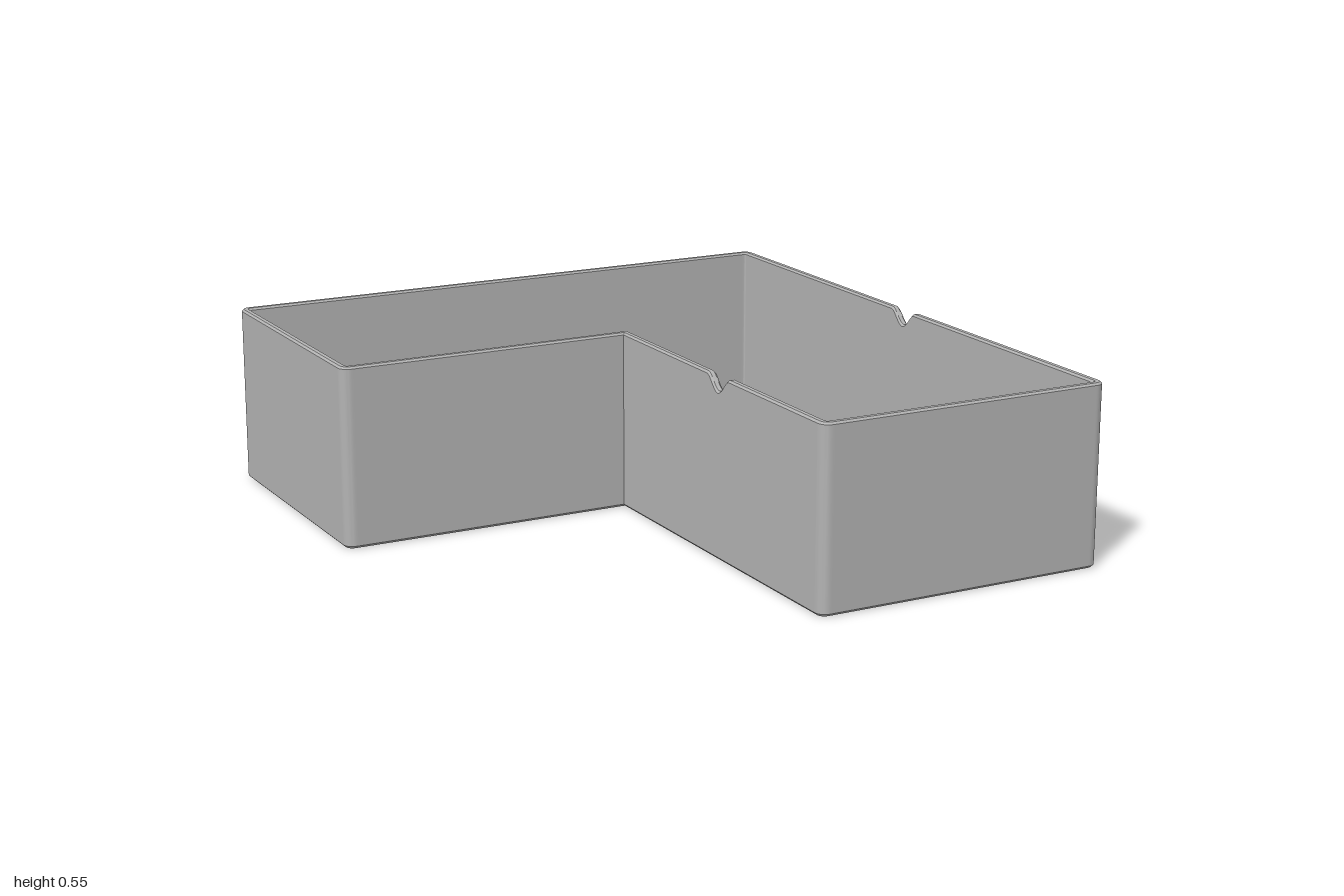
import * as THREE from 'three';
import { toCreasedNormals } from 'three/addons/utils/BufferGeometryUtils.js';

const HEIGHT = 0.545, WALL = 0.025, FLOOR = 0.02, RADIUS = 0.03;

// Outline stations: an outer point, the inward direction, and how far the rim dips there.
function outline() {
  const stations = [];
  const add = (x, z, nx, nz, dip = 0) => stations.push({ x, z, nx, nz, dip });

  // Rounded outer corner, sweeping a quarter turn from the given angle
  const corner = (x, z, start) => {
    const c = (a) => Math.round(Math.cos(a)), s = (a) => Math.round(Math.sin(a));
    const end = start + Math.PI / 2;
    const cx = x - (c(start) + c(end)) * RADIUS, cz = z - (s(start) + s(end)) * RADIUS;
    const at = (a, slide) => {
      const dx = Math.cos(a), dz = Math.sin(a);
      add(cx + dx * RADIUS - dz * slide, cz + dz * RADIUS + dx * slide, -dx, -dz);
    };
    at(start, -0.006); // keeps the long walls flat
    for (let i = 0; i <= 6; i++) at(start + (i / 6) * (Math.PI / 2), 0);
    at(end, 0.006);
  };

  // Rounded notch in the rim of a side wall
  const notch = (x, z, dir) => {
    for (let i = 0; i <= 16; i++) {
      const t = i / 8 - 1;
      const dip = 0.045 * Math.pow(Math.max(0, 0.5 + 0.5 * Math.cos(Math.PI * t)), 0.8);
      add(x, z + dir * t * 0.06, -dir, 0, dip);
    }
  };

  corner(-0.915, -1, Math.PI);
  corner(0.915, -1, Math.PI * 1.5);
  notch(0.915, 0, 1);
  corner(0.915, 1, 0);
  corner(-0.01, 1, Math.PI / 2);
  notch(-0.01, 0.43, -1);
  add(-0.01, -0.145, 1, -1); // inside corner of the L
  corner(-0.915, -0.145, Math.PI / 2);
  return stations;
}

const pointAt = (s, inset, y) => [s.x + s.nx * inset, y, s.z + s.nz * inset];

function finish(positions) {
  const g = new THREE.BufferGeometry();
  g.setAttribute('position', new THREE.Float32BufferAttribute(positions, 3));
  return toCreasedNormals(g, 0.3);
}

// Wall cross-section carried round the outline
function wallGeometry(stations) {
  const rings = [
    [0.008, () => 0], [0, () => 0.008],
    [0, (s) => HEIGHT - s.dip - 0.006], [0.006, (s) => HEIGHT - s.dip],
    [WALL - 0.006, (s) => HEIGHT - s.dip], [WALL, (s) => HEIGHT - s.dip - 0.006],
    [WALL, () => FLOOR],
  ];
  const out = [];
  for (let j = 0; j < rings.length - 1; j++) {
    stations.forEach((s, i) => {
      const n = stations[(i + 1) % stations.length];
      const p = (st, r) => pointAt(st, r[0], r[1](st));
      const a = p(s, rings[j]), b = p(n, rings[j]);
      const c = p(n, rings[j + 1]), d = p(s, rings[j + 1]);
      out.push(...a, ...d, ...c, ...a, ...c, ...b);
    });
  }
  return finish(out);
}

// Flat L-shaped sheet facing up or down
function sheetGeometry(stations, inset, y, up) {
  const pts = stations.map((s) => pointAt(s, inset, y));
  const flat = pts.map((p) => new THREE.Vector2(p[0], p[2]));
  const out = [];
  for (const [i, j, k] of THREE.ShapeUtils.triangulateShape(flat, [])) {
    const cross = flat[j].clone().sub(flat[i]).cross(flat[k].clone().sub(flat[i]));
    const order = (cross < 0) === up ? [i, j, k] : [i, k, j];
    order.forEach((v) => out.push(...pts[v]));
  }
  return finish(out);
}

export function createModel() {
  const group = new THREE.Group();
  group.name = 'cornerTray';
  const grey = new THREE.MeshStandardMaterial({ color: 0xb3b3b3 });
  grey.name = 'grey';
  const stations = outline();

  const part = (name, geometry) => {
    const mesh = new THREE.Mesh(geometry, grey);
    mesh.name = name;
    group.add(mesh);
  };
  part('walls', wallGeometry(stations));
  part('floor', sheetGeometry(stations, WALL, FLOOR, true));
  part('underside', sheetGeometry(stations, 0.008, 0, false));
  return group;
}
